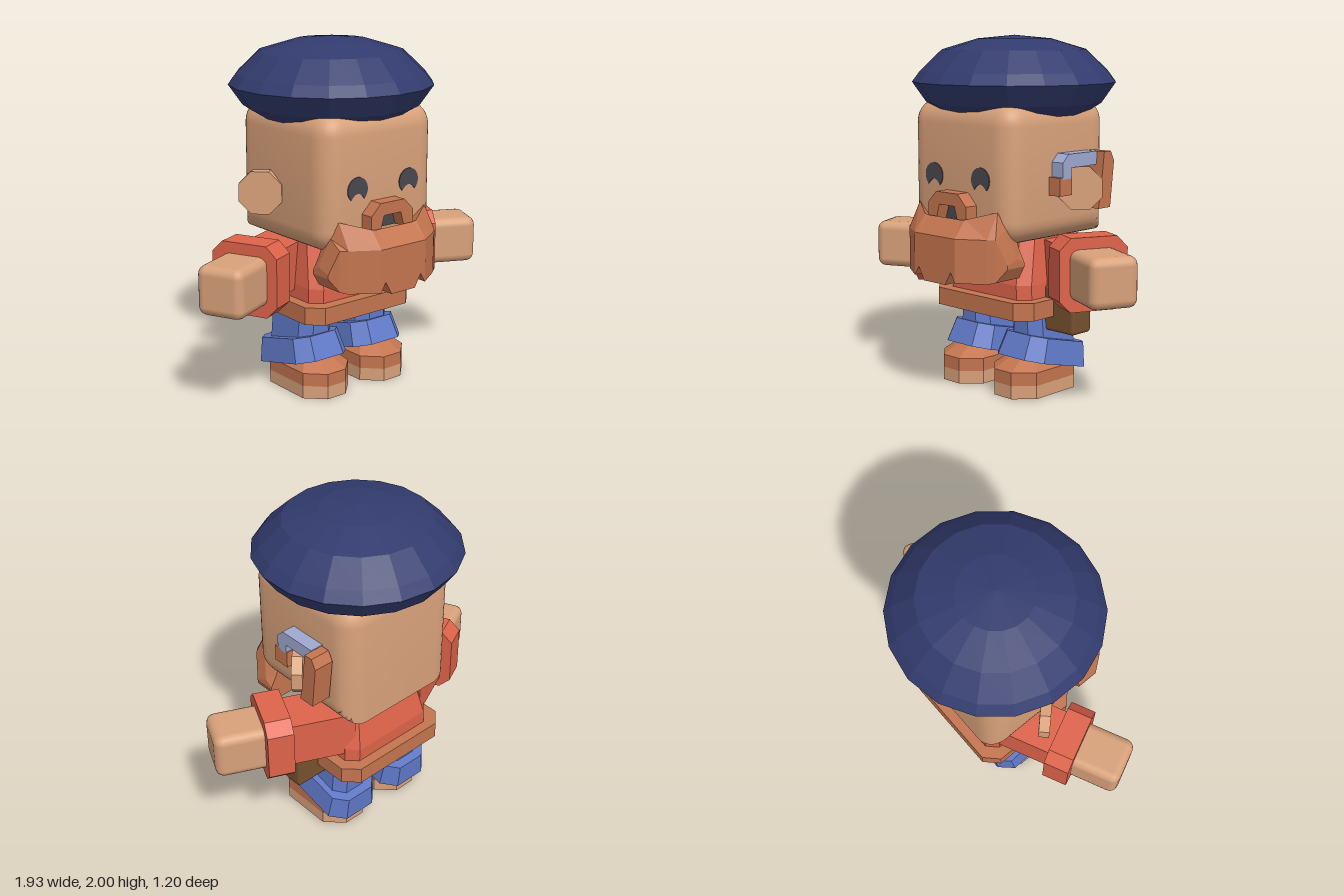
import * as THREE from 'three';
import { toCreasedNormals } from 'three/addons/utils/BufferGeometryUtils.js';
import { RoundedBoxGeometry } from 'three/addons/geometries/RoundedBoxGeometry.js';

const mat = (name, color) => {
  const m = new THREE.MeshStandardMaterial({ color });
  m.name = name;
  return m;
};

// Flat-faceted skin over a stack of rings, closed at both ends.
function loft(rings) {
  const pos = [];
  const tri = (...pts) => pts.forEach((p) => pos.push(...p));
  const n = rings[0].length;
  const mid = (r) => [0, 1, 2].map((k) => r.reduce((t, p) => t + p[k], 0) / n);
  const first = rings[0], last = rings[rings.length - 1];
  for (let j = 0; j < n; j++) {
    const k = (j + 1) % n;
    for (let i = 0; i + 1 < rings.length; i++) {
      const a = rings[i], b = rings[i + 1];
      tri(a[j], a[k], b[k]);
      tri(a[j], b[k], b[j]);
    }
    tri(mid(first), first[k], first[j]);
    tri(mid(last), last[j], last[k]);
  }
  const g = new THREE.BufferGeometry();
  g.setAttribute('position', new THREE.Float32BufferAttribute(pos, 3));
  g.computeVertexNormals();
  return g;
}

// Rectangle with cut corners at height y; counter-clockwise from above.
function octagon(y, hx, hz, c, cz = 0) {
  const x = hx - c, z = hz - c;
  return [[hx, z], [hx, -z], [x, -hz], [-x, -hz], [-hx, -z], [-hx, z], [-x, hz], [x, hz]]
    .map(([px, pz]) => [px, y, pz + cz]);
}

const shapeOf = (pts) => new THREE.Shape(pts.map(([x, y]) => new THREE.Vector2(x, y)));
const slab = (shape, depth) => new THREE.ExtrudeGeometry(shape, { depth, bevelEnabled: false, curveSegments: 8 });
// Outline given as [z, y], extruded towards +x.
const sideSlab = (pts, depth) => slab(shapeOf(pts.map(([z, y]) => [-z, y])), depth).rotateY(Math.PI / 2);

export function createModel() {
  const model = new THREE.Group();
  const skin = mat('skin tan', 0xd8a17a);
  const rust = mat('rust brown', 0xc4754f);
  const shirt = mat('shirt red', 0xde634a);
  const denim = mat('trouser blue', 0x6079c8);
  const navy = mat('cap navy', 0x323b6e);
  const dark = mat('dark grey', 0x48474f);
  const leather = mat('pouch brown', 0x77512f);
  const metal = mat('pale metal', 0x9fa8d0);

  const add = (name, geo, material, x = 0, y = 0, z = 0, parent = model) => {
    const m = new THREE.Mesh(geo, material);
    m.name = name;
    m.position.set(x, y, z);
    parent.add(m);
    return m;
  };

  // Head: rounded block, with the lower back edge pulled out to a corner
  const hw = [0.4, 0.385, 0.405], r = 0.13;
  const headGeo = new RoundedBoxGeometry(0.8, 0.77, 0.81, 4, r);
  const p = headGeo.attributes.position;
  for (let i = 0; i < p.count; i++) {
    const dy = -p.getY(i) - (hw[1] - r), dz = -p.getZ(i) - (hw[2] - r);
    if (dy > 1e-4 && dz > 1e-4) {
      const f = Math.hypot(dy, dz) / Math.max(dy, dz);
      p.setY(i, -(hw[1] - r) - dy * f);
      p.setZ(i, -(hw[2] - r) - dz * f);
    }
  }
  add('head', toCreasedNormals(headGeo, 0.6), skin, 0, 1.265, 0.025);

  // Cap
  const capProfile = [[0, 1.53], [0.36, 1.54], [0.5, 1.625], [0.58, 1.74], [0.535, 1.8],
    [0.41, 1.92], [0.21, 1.98], [0, 2]].map(([x, y]) => new THREE.Vector2(x, y));
  const capGeo = new THREE.LatheGeometry(capProfile, 18).toNonIndexed();
  capGeo.computeVertexNormals();
  add('cap', capGeo, navy, 0, 0, -0.02);

  // Eyes: discs with a notch below
  const eye = new THREE.Shape();
  eye.absarc(0, 0, 0.07, -0.85, Math.PI + 0.85, false);
  eye.quadraticCurveTo(0, 0.01, 0.046, -0.053);
  for (const s of [-1, 1]) add('eye', slab(eye, 0.007), dark, s * 0.183, 1.23, 0.428);

  // Mouth and moustache
  add('mouth', slab(shapeOf([[-0.085, 1.0], [0.085, 1.0], [0.06, 1.09], [-0.06, 1.09]]), 0.008), dark, 0, 0, 0.428);
  add('moustache', slab(shapeOf([[0.15, 1.0], [0.15, 1.09], [0.085, 1.155], [-0.085, 1.155], [-0.15, 1.09],
    [-0.15, 1.0], [-0.085, 1.0], [-0.06, 1.085], [0.06, 1.085], [0.085, 1.0]]), 0.09), rust, 0, 0, 0.42);

  // Beard: columns of [x, bottom, top, front z], mirrored
  const half = [[0.385, 0.77, 0.82, 0.43], [0.345, 0.70, 0.98, 0.48], [0.31, 0.69, 1.07, 0.51],
    [0.16, 0.69, 1.025, 0.605], [0.127, 0.744, 1.02, 0.605], [0.085, 0.67, 1.02, 0.605]];
  const columns = [...half.map(([x, ...c]) => [-x, ...c]), ...half.slice().reverse()];
  add('beard', loft(columns.map(([x, lo, hi, z]) => [
    [x, Math.max(lo + 0.02, hi - 0.12), 0.3], [x, hi, z - 0.08],
    [x, Math.min(0.93, hi - 0.03), z], [x, lo, z], [x, lo, 0.3],
  ])), rust);

  // Ears
  for (const s of [-1, 1]) {
    const geo = new THREE.CylinderGeometry(0.13, 0.13, 0.06, 8).rotateY(Math.PI / 8).rotateX(Math.PI / 2);
    const ear = add('ear', toCreasedNormals(geo, 0.3), skin, s * 0.468, 1.17, -0.057);
    ear.rotation.y = s * Math.PI / 4;
  }

  // Device worn around the left ear
  add('earHook', sideSlab([[0.1, 1.23], [0.1, 1.32], [0.055, 1.365], [-0.18, 1.365], [-0.18, 1.29],
    [0.03, 1.29], [0.03, 1.23]], 0.1), metal, 0.38);
  add('earHookTip', new THREE.BoxGeometry(0.1, 0.1, 0.1), rust, 0.43, 1.19, 0.075);
  add('earHookBack', sideSlab([[-0.14, 1.05], [-0.165, 1.2], [-0.185, 1.365], [-0.24, 1.365], [-0.27, 1.31],
    [-0.24, 1.05]], 0.12), rust, 0.41);

  // Torso, belt and pouch
  add('torso', loft([octagon(0.5, 0.32, 0.275, 0.06, -0.045), octagon(0.63, 0.315, 0.275, 0.06, -0.045),
    octagon(0.9, 0.27, 0.205, 0.06, -0.05)]), shirt);
  add('belt', loft([0.45, 0.55].map((y) => octagon(y, 0.38, 0.34, 0.08, -0.04))), rust);
  add('pouch', new RoundedBoxGeometry(0.22, 0.26, 0.155, 2, 0.02), leather, 0.415, 0.49, -0.018);

  // Arms: built along local +x, angled forward
  for (const s of [1, -1]) {
    const arm = new THREE.Group();
    arm.name = s > 0 ? 'leftArm' : 'rightArm';
    arm.position.set(s * 0.67, 0.733, 0.06);
    arm.rotation.y = s > 0 ? -0.44 : Math.PI + 0.44;
    model.add(arm);
    add('sleeve', new THREE.BoxGeometry(0.4, 0.27, 0.27), shirt, -0.32, 0, 0, arm);
    const cuff = loft([-0.15, 0].map((y) => octagon(y, 0.203, 0.2, 0.065))).rotateZ(-Math.PI / 2);
    add('cuff', cuff, shirt, 0, 0, 0, arm);
    add('hand', new RoundedBoxGeometry(0.33, 0.278, 0.278, 2, 0.05), skin, 0.115, 0, 0, arm);
  }

  // Legs and boots
  for (const s of [1, -1]) {
    const leg = new THREE.Group();
    leg.name = s > 0 ? 'leftLeg' : 'rightLeg';
    leg.position.x = s * 0.21;
    model.add(leg);
    add('trouser', loft([octagon(0.18, 0.13, 0.185, 0.06, -0.04), octagon(0.47, 0.105, 0.185, 0.06, -0.04)]),
      denim, 0, 0, 0, leg);
    const hem = loft([octagon(-0.07, 0.182, 0.255, 0.08), octagon(0.07, 0.16, 0.225, 0.07)]);
    add('trouserHem', hem, denim, 0, 0.22, -0.04, leg).rotation.x = -0.25;
    add('boot', loft([octagon(0.075, 0.165, 0.257, 0.1, 0.033), octagon(0.15, 0.165, 0.257, 0.1, 0.033),
      octagon(0.21, 0.1, 0.17, 0.06, 0.01)]), rust, 0, 0, 0, leg);
    add('sole', loft([0, 0.075].map((y) => octagon(y, 0.165, 0.257, 0.1, 0.033))), skin, 0, 0, 0, leg);
  }
  return model;
}
